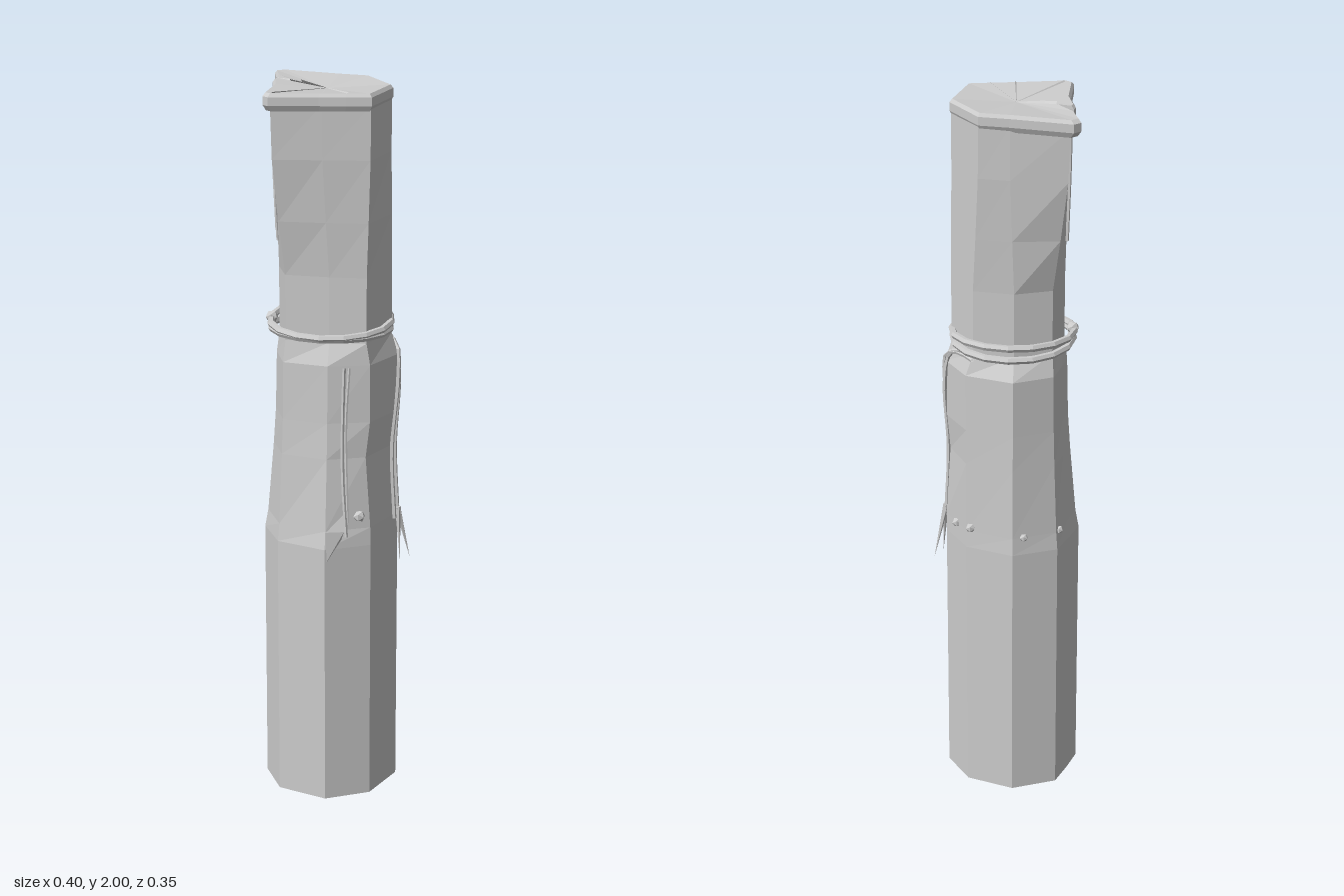
import * as THREE from 'three';
import { ConvexGeometry } from 'three/addons/geometries/ConvexGeometry.js';

const CX = -0.02;
// Horizontal outlines [x, z], running front -> right -> back -> left.
const BASE = [[0, .175], [.115, .11], [.165, -.03], [.1, -.13], [-.03, -.175], [-.15, -.125], [-.178, -.05], [-.2, .02], [-.14, .13]];
const SHOULDER = [[0, .132], [.11, .1], [.165, -.02], [.1, -.12], [-.03, -.16], [-.135, -.11], [-.152, -.04], [-.163, .02], [-.125, .115]];
const NECK = [[0, .107], [.1, .1], [.147, -.02], [.08, -.11], [-.03, -.125], [-.13, -.09], [-.143, -.03], [-.155, .02], [-.12, .105]];
const MOUTH = [[-.015, .132], [.112, .112], [.143, -.02], [.062, -.132], [-.02, -.142], [-.175, -.15], [-.14, -.035], [-.163, .03], [-.147, .152]];
const mix = (a, b, t) => a.map((p, i) => [p[0] + (b[i][0] - p[0]) * t, p[1] + (b[i][1] - p[1]) * t]);

// Sections from the foot to the mouth.
const SECTIONS = [
  [0, BASE], [.75, BASE], [.8, mix(BASE, SHOULDER, .25)], [1.0, mix(BASE, SHOULDER, .72).map(([x, z]) => [x > .1 ? x - .012 : x, z])],
  [1.1, mix(BASE, SHOULDER, .9)], [1.26, SHOULDER], [1.32, NECK], [1.5, NECK],
  [1.65, mix(NECK, MOUTH, .45)], [1.82, mix(NECK, MOUTH, .9)], [1.965, MOUTH],
];

function facets(points) {
  const g = new THREE.BufferGeometry();
  g.setAttribute('position', new THREE.Float32BufferAttribute(points.flat(), 3));
  g.computeVertexNormals();
  return g;
}
const quad = (out, a, b, c, d) => out.push(a, b, c, a, c, d);

// Walls between stacked rings of [x, y, z] points.
function walls(rings) {
  const out = [];
  for (let r = 0; r + 1 < rings.length; r++) {
    const lo = rings[r], hi = rings[r + 1], n = lo.length;
    for (let i = 0; i < n; i++) quad(out, lo[i], lo[(i + 1) % n], hi[(i + 1) % n], hi[i]);
  }
  return out;
}

// Point on the body skin for a height and heading, pushed outward by off.
function skin(x, y, z, off = 0) {
  let k = 0;
  while (k < SECTIONS.length - 2 && SECTIONS[k + 1][0] < y) k++;
  const [y0, s0] = SECTIONS[k], [y1, s1] = SECTIONS[k + 1];
  const ring = mix(s0, s1, (y - y0) / (y1 - y0));
  const len = Math.hypot(x - CX, z), dx = (x - CX) / len, dz = z / len;
  let best = 0;
  ring.forEach(([ax, az], i) => {
    const [bx, bz] = ring[(i + 1) % ring.length];
    const ex = bx - ax, ez = bz - az, det = dx * ez - dz * ex;
    const px = ax - CX;
    const t = (px * ez - az * ex) / det, u = (px * dz - az * dx) / det;
    if (t > 0 && u >= -1e-6 && u <= 1 + 1e-6) best = Math.max(best, t);
  });
  return new THREE.Vector3(CX + dx * (best + off), y, dz * (best + off));
}

export function createModel() {
  const model = new THREE.Group();
  const grey = new THREE.MeshStandardMaterial({ color: 0xcccccc });
  grey.flatShading = true;
  grey.side = THREE.DoubleSide;
  const add = (name, geo) => {
    const m = new THREE.Mesh(geo, grey);
    m.name = name;
    model.add(m);
    return m;
  };
  const cord = (name, pts, r) =>
    add(name, new THREE.TubeGeometry(new THREE.CatmullRomCurve3(pts), pts.length * 3, r, 5));

  // Wrapped body with its foot
  const body = walls(SECTIONS.map(([y, s]) => s.map(([x, z]) => [x, y, z])));
  BASE.forEach(([x, z], i) => {
    const [bx, bz] = BASE[(i + 1) % BASE.length];
    body.push([CX, 0, 0], [bx, 0, bz], [x, 0, z]);
  });
  add('wrappedBody', facets(body));

  // Folded cap with a lip, a notch on one side and small pleats
  const LIP = [[-.15, .168], [-.02, .143], [.05, .132], [.115, .12], [.147, -.02], [.062, -.136], [-.02, -.147],
    [-.185, -.178], [-.203, -.162], [-.185, -.1], [-.14, -.045], [-.178, -.055], [-.182, -.04], [-.165, .03], [-.166, .155]];
  const level = (y, s) => LIP.map(([x, z]) => [CX + (x - CX) * s, y, z * s]);
  const capRings = [level(1.95, .95), level(1.965, 1), level(1.988, 1), level(1.997, .955)];
  const cap = walls(capRings);
  const rim = capRings[3];
  rim.forEach((p, i) => cap.push([-.025, 1.985, .003], p, rim[(i + 1) % rim.length]));
  add('foldedCap', facets(cap));
  const pleats = [[-.145, .15, .007], [-.02, .135, .009], [.045, .125, .01], [-.13, -.035, .01], [-.1, -.03, .006]];
  for (const [x, z, w] of pleats) {
    const l = Math.hypot(x - CX, z), sx = z / l * w, sz = -(x - CX) / l * w;
    add('capPleat', facets([[-.025, 1.986, .003], [x - sx, 1.985, z - sz], [x + sx, 2, z + sz]]));
  }

  // Cord wound twice round the neck
  for (const [y, grow, tilt] of [[1.333, .018, .006], [1.352, .02, -.01]]) {
    const pts = [];
    for (let i = 0; i < 14; i++) {
      const a = i / 14 * Math.PI * 2;
      pts.push(new THREE.Vector3(-.018 + Math.cos(a) * (.145 + grow), y + tilt * Math.sin(a), -.007 + Math.sin(a) * (.14 + grow)));
    }
    add('neckCord', new THREE.TubeGeometry(new THREE.CatmullRomCurve3(pts, true), 16, .01, 6, true));
  }
  const knot = add('cordKnot', new THREE.IcosahedronGeometry(.018, 0));
  knot.position.set(-.178, 1.355, .01);

  // Hanging cord on the left with two loose tails
  for (const d of [0, .016]) {
    cord('hangingCord', [[.07, 1.315, -.12], [.1, 1.315, -.075], [.16, 1.29, -.04], [.165, 1.2, -.028], [.165, 1.0, -.022], [.165, .8, -.018]]
      .map(([x, y, z]) => skin(x, y - d * .6, z + d, .006)), .006);
  }
  for (const [x, y, z] of [[.2, .665, -.035], [.178, .67, 0]]) {
    const from = new THREE.Vector3(.168, .82, -.015), to = new THREE.Vector3(x, y, z);
    const tail = add('cordTail', new THREE.ConeGeometry(.009, from.distanceTo(to), 5));
    tail.position.copy(from).lerp(to, .5);
    tail.quaternion.setFromUnitVectors(new THREE.Vector3(0, 1, 0), to.sub(from).normalize());
  }

  // Overlapping seam edges on the front and the upper right side
  const seams = [
    ['frontSeam', [[.045, 1.255, .125], [.042, 1.1, .13], [.045, .95, .14], [.055, .78, .145]], .005],
    ['frontSeam', [[.06, 1.255, .122], [.053, 1.1, .13], [.058, .95, .14], [.062, .82, .145]], .004],
    ['sideSlit', [[-.16, 1.955, .03], [-.16, 1.8, .03], [-.16, 1.6, .02]], .006],
    ['sideSlit', [[-.15, 1.955, .055], [-.15, 1.75, .06], [-.15, 1.58, .05]], .005],
  ];
  for (const [name, pts, r] of seams) cord(name, pts.map((p) => skin(...p, .002)), r);

  // Pointed corner of the front fold
  const corner = [[.005, .715, .174], [.003, .8, .172], [.05, .8, .157], [.05, .85, .142], [.03, .77, .163], [.01, .8, .13], [.03, .74, .14]];
  add('foldCorner', new ConvexGeometry(corner.map((p) => new THREE.Vector3(...p))));

  // Studs along the hem
  for (const [x, y, z, r] of [[.09, .835, .125, .017], [.15, .8, -.09, .014], [.1, .81, -.145, .014], [-.06, .8, -.16, .012], [-.15, .8, -.1, .012]]) {
    add('hemStud', new THREE.IcosahedronGeometry(r, 0)).position.copy(skin(x, y, z));
  }
  return model;
}
